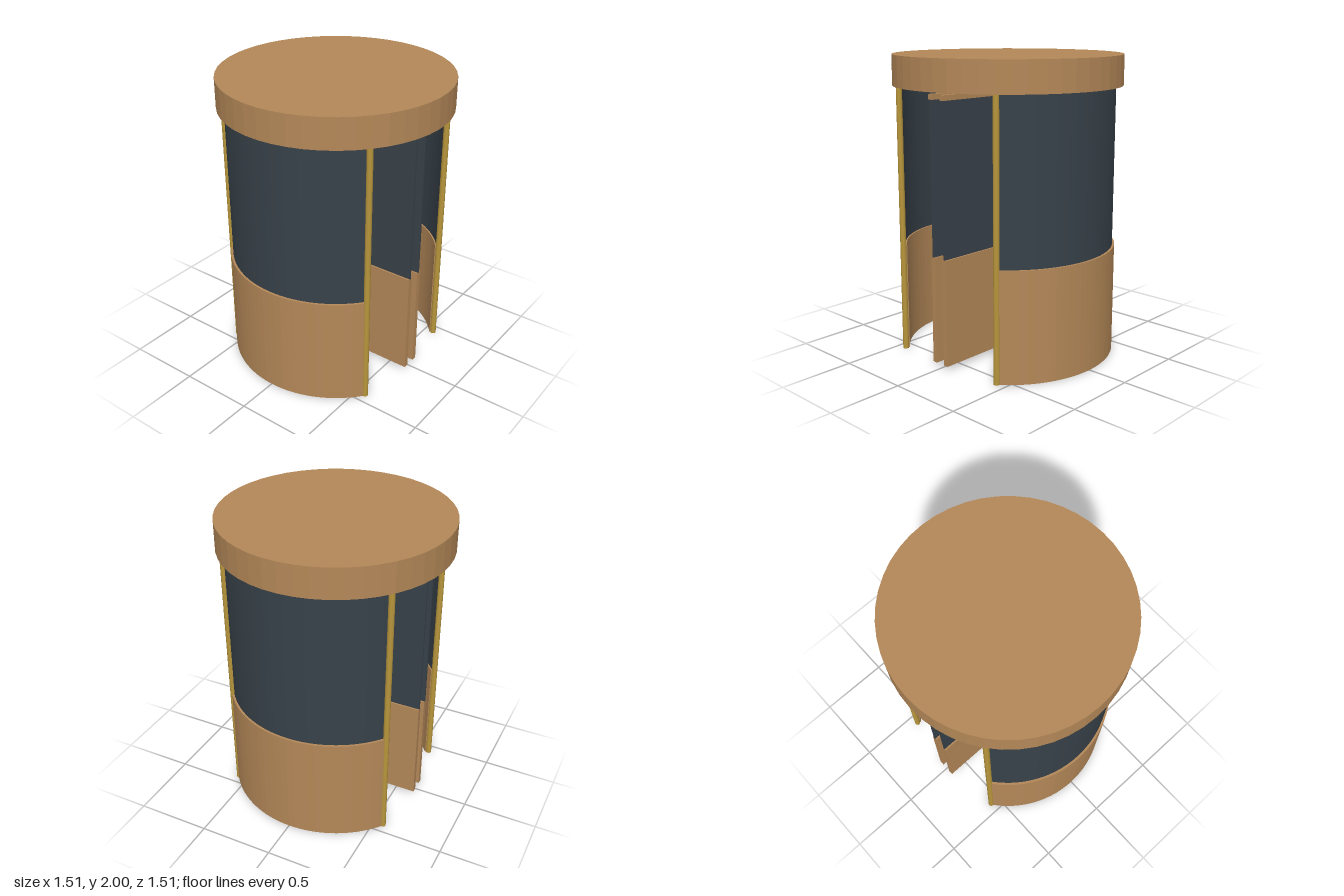
import * as THREE from 'three';

const paint = (name, color) => {
  const m = new THREE.MeshStandardMaterial({ color });
  m.name = name;
  return m;
};

export function createModel() {
  const wood = paint('wood', 0xb48858);
  const glass = paint('dark glass', 0x38424a);
  const brass = paint('brass', 0xb8963c);
  const model = new THREE.Group();
  model.name = 'revolvingDoor';

  const add = (parent, name, geometry, material, x = 0, y = 0, z = 0) => {
    const mesh = new THREE.Mesh(geometry, material);
    mesh.name = name;
    mesh.position.set(x, y, z);
    parent.add(mesh);
    return mesh;
  };

  // Curved wall section of a drum, centred on +z, from y0 to y1
  const half = THREE.MathUtils.degToRad(52.5);
  const arcWall = (inner, outer, y0, y1) => {
    const mid = -Math.PI / 2;
    const shape = new THREE.Shape();
    shape.absarc(0, 0, outer, mid - half, mid + half, false);
    shape.absarc(0, 0, inner, mid + half, mid - half, true);
    const g = new THREE.ExtrudeGeometry(shape, { depth: y1 - y0, bevelEnabled: false, curveSegments: 14 });
    return g.rotateX(-Math.PI / 2).translate(0, y0, 0);
  };

  // Round canopy with flat facets
  const canopy = new THREE.CylinderGeometry(0.755, 0.755, 0.2, 48).toNonIndexed();
  canopy.computeVertexNormals();
  add(model, 'canopy', canopy, wood, 0, 1.9, 0);

  // Front and back enclosure walls with brass end posts
  for (const [side, turn] of [['front', 0], ['back', Math.PI]]) {
    const wall = new THREE.Group();
    wall.name = side + 'Wall';
    wall.rotation.y = turn;
    add(wall, 'lowerWall', arcWall(0.687, 0.722, 0, 0.74), wood);
    add(wall, 'wallGlass', arcWall(0.697, 0.707, 0.74, 1.8), glass);
    for (const s of [-1, 1]) {
      add(wall, 'endPost', new THREE.CylinderGeometry(0.02, 0.02, 1.8, 12), brass, s * 0.566, 0.9, 0.434);
    }
    model.add(wall);
  }

  // Central pivot
  add(model, 'centrePost', new THREE.CylinderGeometry(0.029, 0.029, 1.8, 16), brass, 0, 0.9, 0);

  // Four folded door wings, two on each side of the pivot
  const inner = 0.05, outer = 0.641;
  const length = outer - inner, middle = (inner + outer) / 2;
  for (const sx of [-1, 1]) {
    for (const sz of [-1, 1]) {
      const wing = new THREE.Group();
      wing.name = 'doorWing';
      wing.position.set(sx * middle, 0, sz * 0.05);
      add(wing, 'lowerPanel', new THREE.BoxGeometry(length, 0.71, 0.034), wood, 0, 0.385, 0);
      add(wing, 'wingGlass', new THREE.BoxGeometry(length, 1.0, 0.012), glass, 0, 1.24, 0);
      add(wing, 'topRail', new THREE.BoxGeometry(length, 0.034, 0.034), wood, 0, 1.757, 0);
      model.add(wing);
    }
  }
  return model;
}
